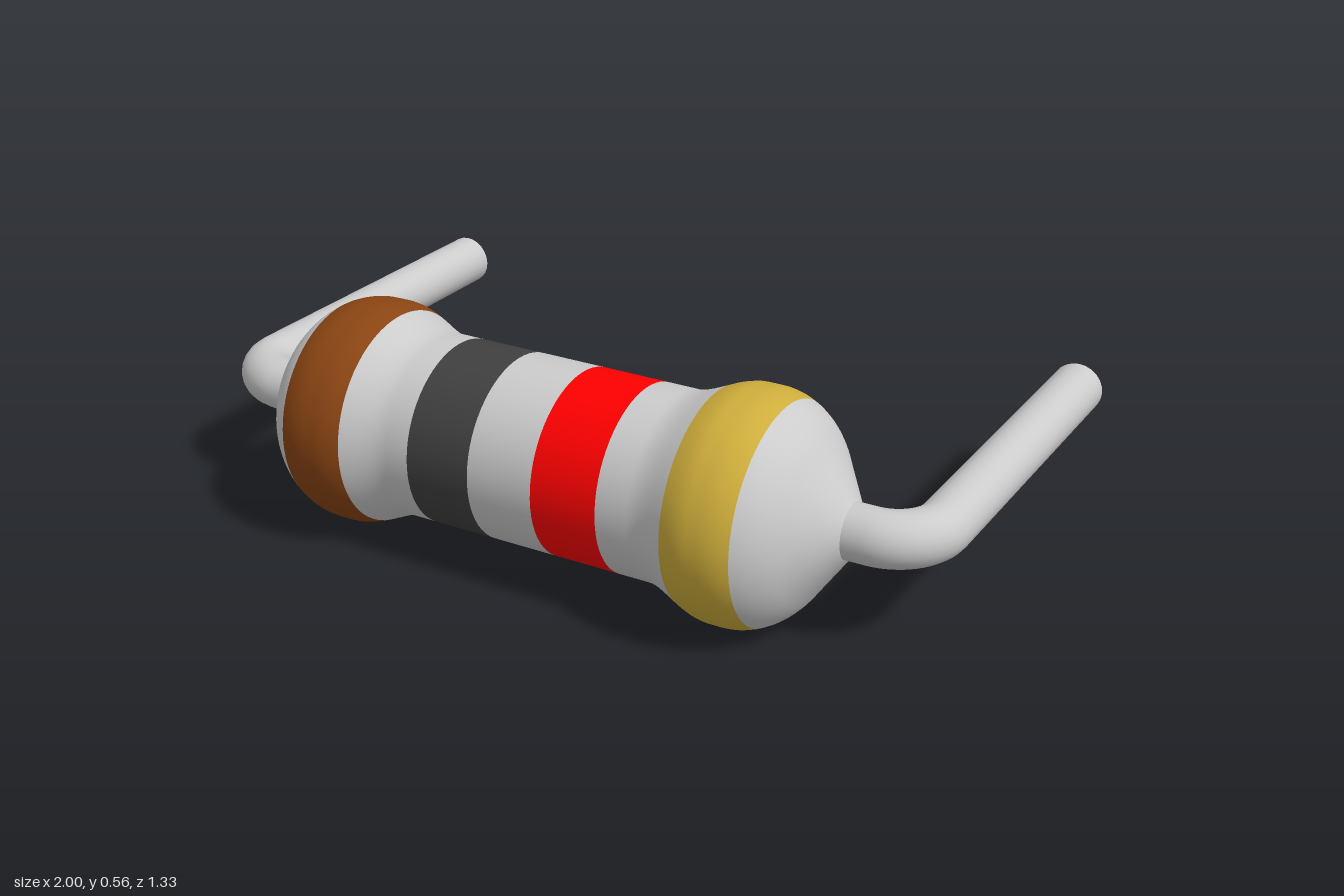
import * as THREE from 'three';

const AXIS_Y = 0.281, AXIS_Z = 0.384, WIRE = 0.066, LEAD_X = 0.934;

const material = (color) => new THREE.MeshStandardMaterial({ color, side: THREE.DoubleSide });

// Body radius along its axis: narrow waist, round shoulders, conical ends
function radiusAt(x) {
  const a = Math.abs(x);
  if (a < 0.53) return 0.228 + 0.052 * THREE.MathUtils.smoothstep(a, 0.33, 0.5);
  if (a < 0.69) return 0.28 * Math.sqrt(1 - ((a - 0.53) / 0.21) ** 2);
  return THREE.MathUtils.mapLinear(a, 0.69, 0.77, 0.181, 0.066);
}

function bodySection(name, from, to, color) {
  const steps = Math.max(4, Math.ceil((to - from) / 0.012));
  const points = [];
  for (let i = 0; i <= steps; i++) {
    const x = from + ((to - from) * i) / steps;
    points.push(new THREE.Vector2(radiusAt(x), x));
  }
  const mesh = new THREE.Mesh(new THREE.LatheGeometry(points, 64), material(color));
  mesh.name = name;
  mesh.rotation.z = -Math.PI / 2;
  mesh.position.set(0, AXIS_Y, AXIS_Z);
  return mesh;
}

// Bent wire with a pointed tip, leaving the body on side s
function lead(name, s, innerX) {
  const group = new THREE.Group();
  group.name = name;
  const bend = 0.12, k = bend * 0.4477;
  const P = (x, z) => new THREE.Vector3(s * x, AXIS_Y + 0.002, z);
  const a = P(LEAD_X - bend, AXIS_Z), b = P(LEAD_X, AXIS_Z - bend), end = P(LEAD_X, -0.61);
  const path = new THREE.CurvePath();
  path.add(new THREE.LineCurve3(P(innerX, AXIS_Z), a));
  path.add(new THREE.CubicBezierCurve3(a, P(LEAD_X - k, AXIS_Z), P(LEAD_X, AXIS_Z - k), b));
  path.add(new THREE.LineCurve3(b, end));
  const wire = new THREE.Mesh(new THREE.TubeGeometry(path, 100, WIRE, 24), material(0xcccccc));
  wire.name = 'wire';
  const tip = new THREE.Mesh(new THREE.ConeGeometry(WIRE, 0.06, 24, 1, true), material(0xcccccc));
  tip.name = 'wireTip';
  tip.rotation.x = -Math.PI / 2;
  tip.position.copy(end).setZ(-0.64);
  group.add(wire, tip);
  return group;
}

// Small fan joining the back of the right wire end to the body
function joint() {
  const pos = [], n = 6, half = 0.95;
  const ring = (i) => {
    const t = -half + (2 * half * i) / n;
    return [-0.772, AXIS_Y + WIRE * Math.sin(t), AXIS_Z - WIRE * Math.cos(t)];
  };
  for (let i = 0; i < n; i++) pos.push(...ring(i), ...ring(i + 1), -0.742, AXIS_Y, 0.272);
  const geometry = new THREE.BufferGeometry();
  geometry.setAttribute('position', new THREE.Float32BufferAttribute(pos, 3));
  geometry.computeVertexNormals();
  const mesh = new THREE.Mesh(geometry, material(0xcccccc));
  mesh.name = 'wireJoint';
  return mesh;
}

function disc(name, radius, x) {
  const mesh = new THREE.Mesh(new THREE.CircleGeometry(radius, 48), material(0xcccccc));
  mesh.name = name;
  mesh.rotation.y = -Math.PI / 2;
  mesh.position.set(x, AXIS_Y, AXIS_Z);
  return mesh;
}

export function createModel() {
  const model = new THREE.Group();
  model.name = 'resistor';

  // Colour bands with grey body between them
  const bands = [
    ['brownBand', -0.607, -0.438, 0x8b4513],
    ['blackBand', -0.265, -0.095, 0x404040],
    ['redBand', 0.077, 0.248, 0xff0000],
    ['goldBand', 0.43, 0.602, 0xcfae3c],
  ];
  let x = -0.738;
  for (const [name, from, to, color] of bands) {
    model.add(bodySection('body', x, from, 0xcccccc), bodySection(name, from, to, color));
    x = to;
  }
  model.add(bodySection('body', x, 0.77, 0xcccccc));

  // Blunt right end, wire leads and joint
  model.add(disc('bodyEnd', radiusAt(-0.738), -0.738));
  model.add(lead('leftLead', 1, 0.75), lead('rightLead', -1, 0.772));
  model.add(disc('wireEnd', WIRE, -0.772), joint());
  return model;
}
